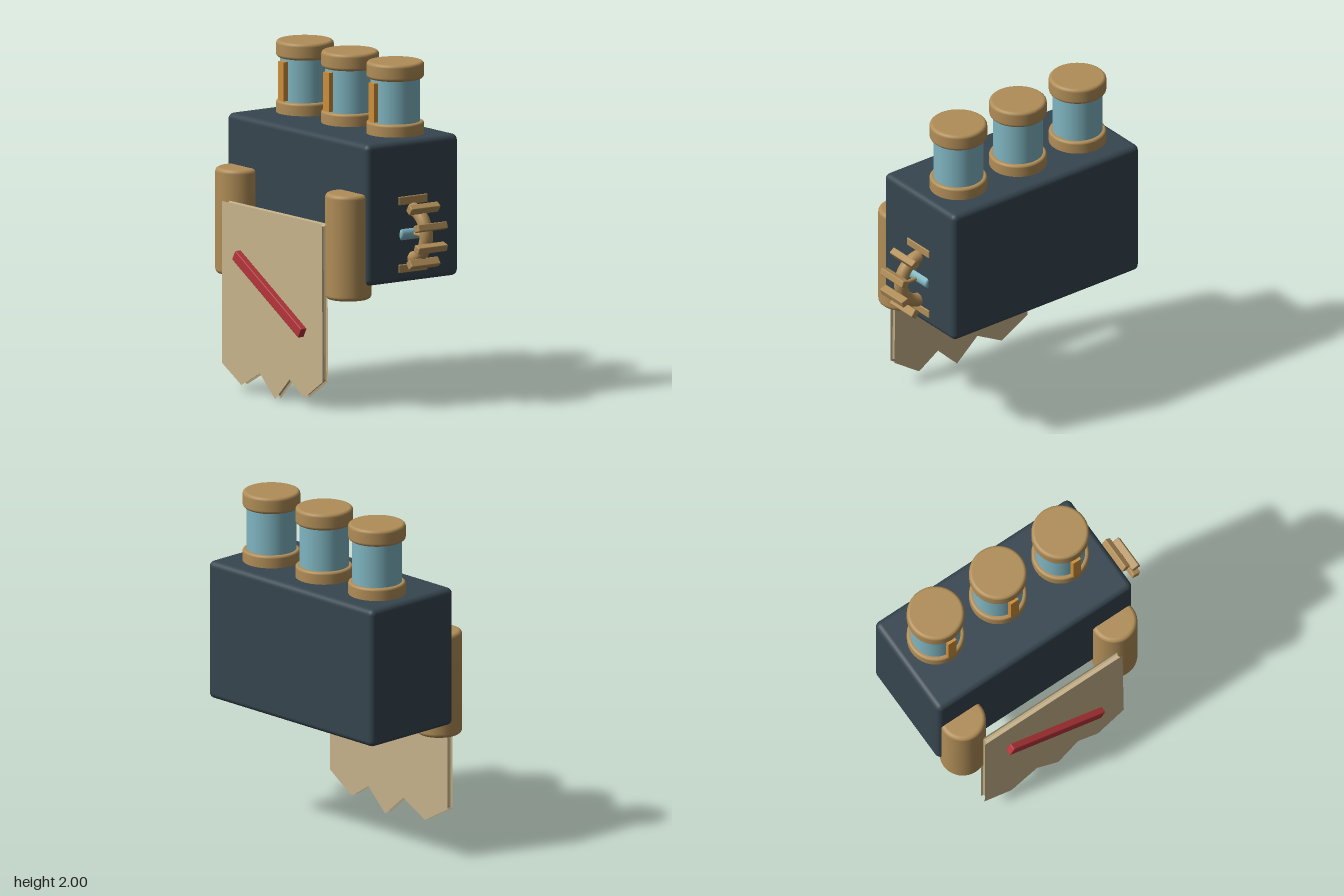
import * as THREE from 'three';
import { RoundedBoxGeometry } from 'three/addons/geometries/RoundedBoxGeometry.js';

const material = (name, color) => {
  const m = new THREE.MeshStandardMaterial({ color });
  m.name = name;
  return m;
};

// Cylinder along y, centred on its middle, with rounded rims
function roundedCylinder(radius, height, fillet, sides = 48) {
  const points = [new THREE.Vector2(0, -height / 2)];
  for (const end of [-1, 1]) {
    for (let i = 0; i <= 5; i++) {
      const a = (end < 0 ? i - 5 : i) / 5 * Math.PI / 2;
      points.push(new THREE.Vector2(
        radius - fillet + fillet * Math.cos(a),
        end * (height / 2 - fillet) + fillet * Math.sin(a)));
    }
  }
  points.push(new THREE.Vector2(0, height / 2));
  return new THREE.LatheGeometry(points, sides);
}

export function createModel() {
  const model = new THREE.Group();
  model.name = 'jarPack';

  const slate = material('slate', 0x36454f);
  const brass = material('brass', 0xb08d57);
  const glass = material('paleBlue', 0x7fb5c1);
  const amber = material('amber', 0xcd8f3a);
  const cloth = material('cloth', 0xc8b48c);
  const red = material('red', 0xb5363a);

  const add = (parent, name, geometry, mat, x, y, z) => {
    const mesh = new THREE.Mesh(geometry, mat);
    mesh.name = name;
    mesh.position.set(x, y, z);
    parent.add(mesh);
    return mesh;
  };

  // Main body
  add(model, 'body', new RoundedBoxGeometry(1.375, 0.835, 0.665, 4, 0.035), slate, -0.103, 1.157, -0.108);

  // Three capped jars with a level strip on the front
  const glassGeo = new THREE.CylinderGeometry(0.145, 0.145, 0.32, 48);
  const lowerGeo = roundedCylinder(0.168, 0.1, 0.015);
  const upperGeo = roundedCylinder(0.168, 0.1, 0.02);
  const stripGeo = new THREE.BoxGeometry(0.055, 0.23, 0.03);
  for (const x of [-0.545, -0.105, 0.335]) {
    const jar = new THREE.Group();
    jar.name = 'jar';
    jar.position.set(x, 0, -0.163);
    add(jar, 'jarBase', lowerGeo, brass, 0, 1.597, 0);
    add(jar, 'jarGlass', glassGeo, glass, 0, 1.775, 0);
    add(jar, 'jarLid', upperGeo, brass, 0, 1.95, 0);
    add(jar, 'levelStrip', stripGeo, amber, 0, 1.77, 0.159);
    model.add(jar);
  }

  // Two upright rolls on the front corners
  const rollGeo = roundedCylinder(0.135, 0.625, 0.025);
  for (const x of [-0.638, 0.432]) add(model, 'frontRoll', rollGeo, brass, x, 0.967, 0.249);

  // Hanging cloth with a ragged hem and grooved edge
  const outline = new THREE.Shape([
    [-0.587, 1.1], [-0.59, 0.145], [-0.4, 0.04], [-0.22, 0.135], [-0.07, 0.003],
    [0.07, 0.14], [0.21, 0.05], [0.392, 0.17], [0.383, 1.1],
  ].map(([x, y]) => new THREE.Vector2(x, y)));
  const clothGeo = new THREE.ExtrudeGeometry(outline, {
    depth: 0.012, bevelThickness: 0.014, bevelSize: -0.018, bevelSegments: 2,
  });
  add(model, 'hangingCloth', clothGeo, cloth, 0, 0, 0.379);

  // Diagonal slash across the cloth
  const slash = add(model, 'slash', new RoundedBoxGeometry(0.745, 0.064, 0.042, 2, 0.006), red, -0.102, 0.622, 0.424);
  slash.rotation.z = -Math.PI / 6;

  // Cogged wheel half sunk in the left side
  const wheel = new THREE.Group();
  wheel.name = 'cogWheel';
  wheel.position.set(0.57, 1.022, -0.105);
  model.add(wheel);
  add(wheel, 'wheelRim', new THREE.TorusGeometry(0.145, 0.04, 16, 48), brass, 0, 0, 0);
  const hub = add(wheel, 'wheelHub', roundedCylinder(0.036, 0.19, 0.015, 32), glass, 0, 0, 0);
  hub.rotation.x = Math.PI / 2;
  const toothGeo = new RoundedBoxGeometry(0.05, 0.042, 0.21, 2, 0.006);
  for (let i = 0; i < 10; i++) {
    const a = (18 + i * 36) * Math.PI / 180;
    const tooth = add(wheel, 'wheelTooth', toothGeo, brass, 0.2 * Math.cos(a), 0.2 * Math.sin(a), 0);
    tooth.rotation.z = a;
  }
  const spokeGeo = new THREE.CylinderGeometry(0.012, 0.012, 0.25, 12);
  for (const turn of [0, Math.PI / 2]) {
    add(wheel, 'wheelSpoke', spokeGeo, brass, 0, 0, 0).rotation.z = turn;
  }

  return model;
}
